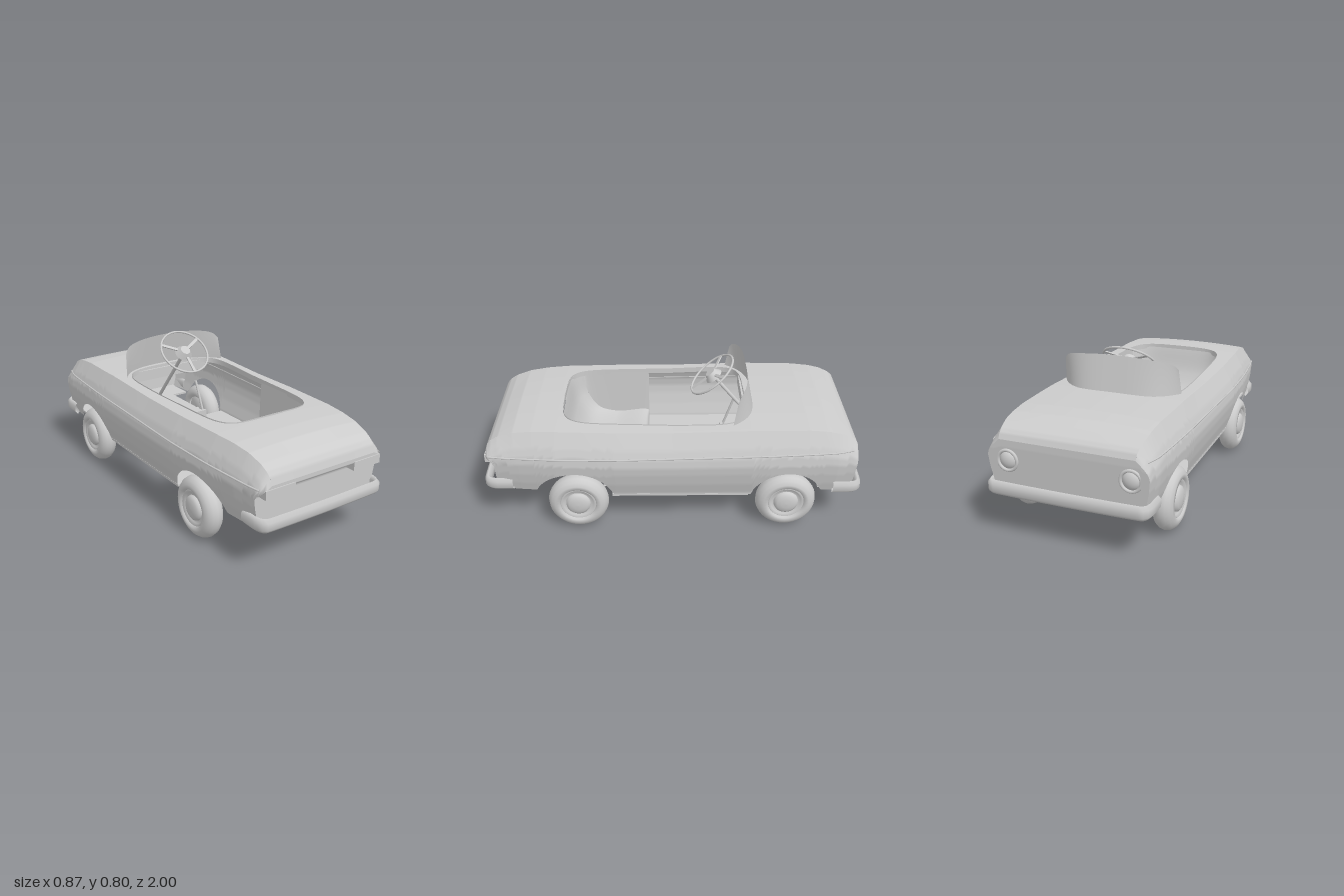
import * as THREE from 'three';
import { ParametricGeometry } from 'three/addons/geometries/ParametricGeometry.js';

const mat = new THREE.MeshStandardMaterial({ color: 0xcccccc, side: THREE.DoubleSide });
const V = (x, y, z) => new THREE.Vector3(x, y, z);

// Piecewise linear lookup in [key, value] pairs
function at(table, k) {
  if (k <= table[0][0]) return table[0][1];
  for (let i = 1; i < table.length; i++) {
    const [a, va] = table[i - 1], [b, vb] = table[i];
    if (k <= b) return va + (vb - va) * (k - a) / (b - a);
  }
  return table[table.length - 1][1];
}

// Body rules: the nose points to -z, the tail to +z
const Z0 = -0.955, Z1 = 0.97;
const topTable = [[-0.955, 0.485], [-0.945, 0.507], [-0.92, 0.529], [-0.87, 0.551], [-0.8, 0.567], [-0.7, 0.577],
  [-0.4, 0.58], [0, 0.57], [0.6, 0.573], [0.72, 0.569], [0.82, 0.556], [0.9, 0.53], [0.94, 0.505],
  [0.96, 0.48], [0.97, 0.45]];
const widthTable = [[-0.955, 0.405], [-0.85, 0.42], [-0.5, 0.43], [0.3, 0.43], [0.6, 0.415], [0.97, 0.375]];
const profileTable = [[0.2, 0.9], [0.27, 0.95], [0.34, 0.985], [0.4, 1], [0.45, 0.985], [0.5, 0.94], [0.58, 0.84]];
const topY = z => at(topTable, z);
// Above the waist the profile is squeezed to meet the deck edge
function sideX(z, y) {
  const k = y > 0.4 ? 0.4 + (y - 0.4) * 0.18 / (topY(z) - 0.4) : y;
  return at(widthTable, z) * at(profileTable, k);
}
// The nose leans in slightly; the tail steps in under its ledge
function lean(z, y) {
  const end = Math.max(0, (Math.abs(z) - 0.8) / 0.17);
  const shift = z > 0 ? 0.045 * THREE.MathUtils.smoothstep(0.43 - y, 0, 0.04) : -0.08 * Math.max(0, 0.44 - y);
  return z - end * shift;
}

function bottomY(z) {
  let y = z < -0.78 || z > 0.7 ? 0.22 : 0.195;
  for (const [c, before, after] of [[-0.6, 0.19, 0.19], [0.5, 0.19, 0.23]]) {
    const d = (z - c) / (z < c ? before : after);
    if (Math.abs(d) < 1) y = Math.max(y, 0.16 + 0.19 * Math.sqrt(1 - d * d));
  }
  return y;
}

// Cockpit opening: a rounded rectangle, wider at the front
const C0 = -0.39, C1 = 0.58;
function holeX(z) {
  const t = (z - (C0 + C1) / 2) / ((C1 - C0) / 2), a = Math.abs(t);
  return a >= 1 ? 0 : (0.295 - 0.018 * t) * Math.pow(1 - Math.pow(a, 7), 1 / 5);
}
// The deck is slightly crowned, flat where it meets the end panels
function deckY(x, z) {
  const crown = 0.012 * Math.min(1, (z - Z0) / 0.15, (Z1 - z) / 0.15);
  return topY(z) + crown * (1 - (x / sideX(z, topY(z))) ** 2);
}

function add(parent, name, geo, pos) {
  const m = new THREE.Mesh(geo, mat);
  m.name = name;
  if (pos) m.position.set(...pos);
  parent.add(m);
  return m;
}
const sheet = (f, nu, nv) => new ParametricGeometry((u, v, t) => t.set(...f(u, v)), nu, nv);
const box = (w, h, d) => new THREE.BoxGeometry(w, h, d);
const tube = (pts, r, n = 40, sides = 8) =>
  new THREE.TubeGeometry(new THREE.CatmullRomCurve3(pts.map(p => V(...p)), false, 'catmullrom', 0.2), n, r, sides);
function rod(parent, name, a, b, r) {
  const A = V(...a), d = V(...b).sub(A);
  const m = add(parent, name, new THREE.CylinderGeometry(r, r, d.length(), 12));
  m.position.copy(A).addScaledVector(d, 0.5);
  m.quaternion.setFromUnitVectors(V(0, 1, 0), d.normalize());
}

function buildBody(g) {
  for (const s of [1, -1]) {
    const side = s > 0 ? 'left' : 'right';
    add(g, side + 'BodySide', sheet((u, v) => {
      const z = Z0 + (Z1 - Z0) * u, b = bottomY(z), y = b + (topY(z) - b) * v;
      return [s * sideX(z, y), y, lean(z, y)];
    }, 160, 16));
    add(g, side + 'Deck', sheet((u, v) => {
      const z = Z0 + (Z1 - Z0) * u, h = holeX(z);
      const x = h + (sideX(z, topY(z)) - h) * v;
      return [s * x, deckY(x, z), z];
    }, 200, 8));
    // Folded lip around the cockpit
    add(g, side + 'CockpitLip', sheet((u, v) => {
      const z = (C0 + C1) / 2 - Math.cos(u * Math.PI) * (C1 - C0) / 2, x = holeX(z);
      return [s * x, deckY(x, z) + 0.006 - 0.03 * v, z];
    }, 80, 2));
    // Inward flange along the sill
    add(g, side + 'SillFlange', box(0.14, 0.012, 0.72), [s * 0.32, 0.198, -0.04]);
    const trim = [];
    for (let i = 0; i <= 24; i++) {
      const z = 0.95 - 1.88 * i / 24, y = 0.433 + 0.037 * i / 24;
      trim.push([s * (sideX(z, y) + 0.001), y, z]);
    }
    add(g, side + 'TrimStrip', tube(trim, 0.005, 60, 6));
  }
  // Nose with a recessed grille, and tail panel
  add(g, 'nosePanel', sheet((u, v) => {
    const y = 0.22 + (topY(Z0) - 0.22) * v, x = (2 * u - 1) * sideX(Z0, y);
    const inset = y > 0.3 && y < 0.46 && Math.abs(x) < 0.36 ? 0.03 : 0;
    return [x, y, lean(Z0, y) + inset];
  }, 40, 24));
  add(g, 'tailPanel', sheet((u, v) => {
    const y = 0.22 + (topY(Z1) - 0.22) * v;
    return [(2 * u - 1) * sideX(Z1, y), y, lean(Z1, y)];
  }, 20, 24));
  add(g, 'frontFloor', box(0.72, 0.012, 0.17), [0, 0.222, -0.855]);
  add(g, 'frontFloorCentre', box(0.52, 0.012, 0.37), [0, 0.222, -0.6]);
  add(g, 'rearFloor', box(0.66, 0.012, 0.2), [0, 0.215, 0.82]);
  add(g, 'dashboard', box(0.5, 0.06, 0.012), [0, 0.55, -0.385]);
}

// Wrap-around bumper with a ridged section
function buildBumper(g, name, dir, w, y) {
  const pts = [[-w, 0.84], [-w, 0.93], [-w + 0.03, 0.976], [0, 0.982],
    [w - 0.03, 0.976], [w, 0.93], [w, 0.84]].map(([x, z]) => [x, 0, z * dir]);
  add(g, name, tube(pts, 0.018, 60, 6), [0, y, 0]).scale.y = 2;
}

function buildWheel(g, name, s, z) {
  const w = new THREE.Group();
  w.name = name;
  w.position.set(s * 0.376, 0.16, z);
  w.rotation.z = -s * Math.PI / 2;
  g.add(w);
  const lathe = pts => new THREE.LatheGeometry(pts.map(p => new THREE.Vector2(...p)), 36);
  add(w, 'tyre', lathe([[0.085, -0.04], [0.1, -0.053], [0.12, -0.052], [0.14, -0.041], [0.154, -0.023], [0.16, 0],
    [0.154, 0.023], [0.14, 0.041], [0.12, 0.052], [0.1, 0.053], [0.092, 0.035]]));
  add(w, 'rim', lathe([[0, -0.03], [0.088, -0.03], [0.098, 0.035], [0.09, 0.046], [0.08, 0.034], [0.064, 0.032]]));
  add(w, 'hubCap', lathe([[0.066, 0.03], [0.062, 0.044], [0.048, 0.053], [0.025, 0.058], [0, 0.059]]));
}

function buildSteering(g) {
  const s = new THREE.Group();
  s.name = 'steeringWheel';
  s.position.set(0, 0.708, -0.215);
  s.quaternion.setFromUnitVectors(V(0, 0, 1), V(0, 0.77, 0.638).normalize());
  g.add(s);
  add(s, 'steeringRim', new THREE.TorusGeometry(0.14, 0.006, 8, 48));
  const hub = add(s, 'steeringHub', new THREE.CylinderGeometry(0.028, 0.05, 0.035, 24));
  hub.rotation.x = Math.PI / 2;
  for (let i = 0; i < 3; i++) {
    const a = Math.PI / 6 + i * Math.PI * 2 / 3;
    const spoke = add(s, 'steeringSpoke', box(0.1, 0.016, 0.006),
      [0.09 * Math.cos(a), 0.09 * Math.sin(a), 0]);
    spoke.rotation.z = a;
  }
  rod(g, 'steeringColumn', [0, 0.7, -0.222], [0, 0.25, -0.595], 0.01);
}

// Seat bending up into its backrest, with side walls up to the lip
function buildSeat(g) {
  const curve = new THREE.CatmullRomCurve3([V(0, 0.26, 0.13), V(0, 0.3, 0.15), V(0, 0.295, 0.34),
    V(0, 0.33, 0.46), V(0, 0.43, 0.535), V(0, 0.57, 0.575)]);
  const point = (t, v) => {
    const p = curve.getPoint(v);
    return [t * 0.275, p.y + 0.02 * t ** 4 * (1 - v), p.z - 0.06 * t ** 6 * v];
  };
  add(g, 'seat', sheet((u, v) => point(2 * u - 1, v), 20, 30));
  for (const s of [1, -1]) {
    add(g, (s > 0 ? 'left' : 'right') + 'SeatWall', sheet((u, v) => {
      const [x, y, z] = point(s, 0.12 + 0.88 * u);
      return [x + s * 0.01 * v, y + (0.565 - y) * v, z];
    }, 24, 4));
  }
}

export function createModel() {
  const g = new THREE.Group();
  g.name = 'pedalCar';
  buildBody(g);
  buildBumper(g, 'frontBumper', -1, 0.4, 0.25);
  buildBumper(g, 'rearBumper', 1, 0.365, 0.262);
  buildSteering(g);
  buildSeat(g);

  // Curved windscreen, wrapped back at both ends
  add(g, 'windscreen', sheet((u, v) => {
    const t = 2 * u - 1, t4 = t ** 4;
    const yTop = 0.775 - 0.03 * t * t - 0.03 * t ** 16;
    const zBase = -0.43 + 0.12 * t4, zTop = -0.392 + 0.06 * t4;
    return [t * (0.322 - 0.01 * v), 0.588 + (yTop - 0.588) * v, zBase + (zTop - zBase) * v];
  }, 40, 6));

  for (const s of [1, -1]) {
    const side = s > 0 ? 'left' : 'right';
    buildWheel(g, side + 'FrontWheel', s, -0.6);
    buildWheel(g, side + 'RearWheel', s, 0.5);

    // Round headlight with a ring
    const lamp = add(g, side + 'Headlight', new THREE.SphereGeometry(0.046, 24, 12), [s * 0.31, 0.377, -0.925]);
    lamp.scale.z = 0.6;
    add(g, side + 'HeadlightRing', new THREE.TorusGeometry(0.05, 0.008, 8, 32), [s * 0.31, 0.377, -0.938]);
    add(g, side + 'TailLight', box(0.17, 0.045, 0.05), [s * 0.265, 0.412, 0.95]);

    // Axle brackets, pedal and push rod
    add(g, side + 'RearBracket', box(0.09, 0.08, 0.02), [s * 0.29, 0.19, 0.5]);
    add(g, side + 'RearBracketFoot', box(0.13, 0.01, 0.05), [s * 0.28, 0.155, 0.5]);
    add(g, side + 'FrontBracket', box(0.04, 0.07, 0.05), [s * 0.24, 0.19, -0.6]);
    rod(g, side + 'PushRod', [s * 0.185, s > 0 ? 0.085 : 0.19, 0.5], [s * 0.19, 0.2, -0.28], 0.006);
    rod(g, side + 'PedalLever', [s * 0.19, 0.2, -0.28], [s * 0.17, 0.46, -0.36], 0.007);
    add(g, side + 'Pedal', box(0.09, 0.06, 0.015), [s * 0.15, 0.26, -0.29]);
  }

  // Cranked rear axle, straight front axle and its beam
  add(g, 'rearAxle', tube([[-0.36, 0.16, 0.5], [-0.23, 0.16, 0.5], [-0.14, 0.185, 0.5], [-0.1, 0.165, 0.5],
    [0.11, 0.16, 0.5], [0.155, 0.085, 0.5], [0.215, 0.085, 0.5], [0.24, 0.16, 0.5], [0.36, 0.16, 0.5]], 0.008, 80));
  rod(g, 'frontAxle', [-0.36, 0.165, -0.6], [0.36, 0.165, -0.6], 0.01);
  add(g, 'frontAxleBeam', box(0.26, 0.05, 0.04), [0, 0.19, -0.6]);
  return g;
}
